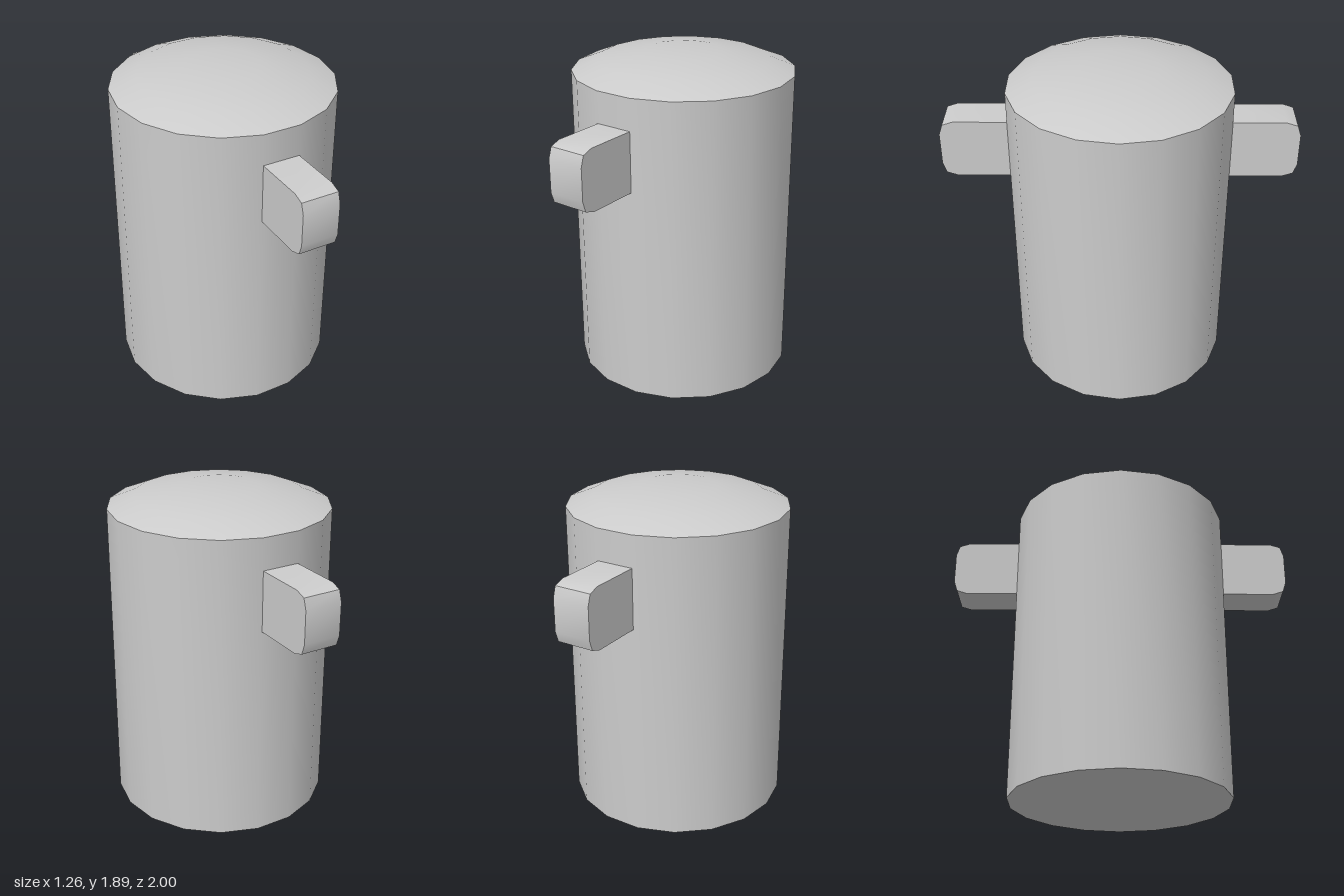
import * as THREE from 'three';
import { toCreasedNormals } from 'three/addons/utils/BufferGeometryUtils.js';

const CREASE = THREE.MathUtils.degToRad(40);
const points = (list) => list.map(([x, y]) => new THREE.Vector2(x, y));

export function createModel() {
  const group = new THREE.Group();
  const material = new THREE.MeshStandardMaterial({ color: 0xcccccc });

  const addPart = (name, geometry) => {
    const mesh = new THREE.Mesh(toCreasedNormals(geometry, CREASE), material);
    mesh.name = name;
    group.add(mesh);
    return mesh;
  };

  // 18-sided drum with a closed base and a shallow domed top, corners on the x axis
  const profile = points([
    [0, 0], [0.63, 0], [0.63, 1.785], [0.48, 1.845], [0.22, 1.885], [0, 1.888],
  ]);
  addPart('body', new THREE.LatheGeometry(profile, 18, Math.PI / 2));

  // Side profile of a lug, running outward from the wall with a softened end
  const lugShape = new THREE.Shape(points([
    [0.6, 1.26], [0.92, 1.26], [0.98, 1.28], [1, 1.34],
    [1, 1.525], [0.98, 1.585], [0.92, 1.605], [0.6, 1.605],
  ]));
  const width = 0.216;
  const lug = new THREE.ExtrudeGeometry(lugShape, { depth: width, bevelEnabled: false });
  lug.translate(0, 0, -width / 2).rotateY(-Math.PI / 2);

  // One lug on the front, one on the back
  addPart('frontLug', lug);
  addPart('backLug', lug).rotation.y = Math.PI;

  return group;
}
